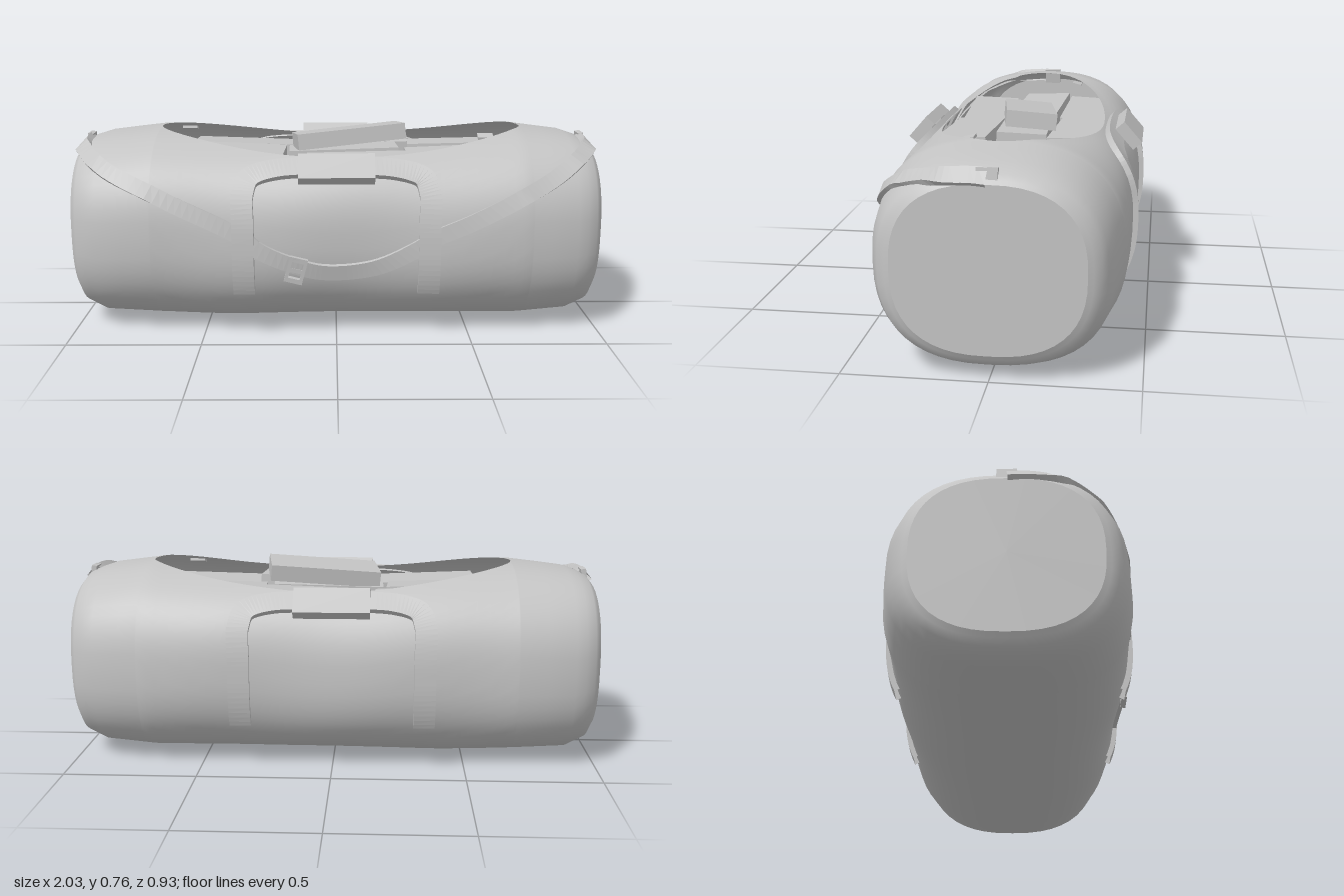
import * as THREE from 'three';
import { mergeVertices } from 'three/addons/utils/BufferGeometryUtils.js';

const N = 2.5; // roundness of the bag's cross-section
const HOLE = { x: 0.02, rx: 0.71, rz: 0.31 };

// x, half depth, bottom, top
const SECTIONS = [
  [-1, 0.32, 0.1, 0.675], [-0.975, 0.365, 0.06, 0.705], [-0.9, 0.4, 0.025, 0.728],
  [-0.7, 0.435, 0.018, 0.752], [-0.4, 0.44, 0.008, 0.748], [0, 0.442, 0.016, 0.742],
  [0.4, 0.44, 0.016, 0.745], [0.7, 0.43, 0.012, 0.755], [0.9, 0.4, 0.028, 0.73],
  [0.975, 0.365, 0.06, 0.705], [1, 0.32, 0.1, 0.675],
];

function section(x) {
  x = THREE.MathUtils.clamp(x, -1, 1);
  let i = 0;
  while (i < SECTIONS.length - 2 && SECTIONS[i + 1][0] < x) i++;
  const p = SECTIONS[i], q = SECTIONS[i + 1], t = (x - p[0]) / (q[0] - p[0]);
  const [a, lo, hi] = [1, 2, 3].map((k) => THREE.MathUtils.lerp(p[k], q[k], t));
  return { x, a, cy: (lo + hi) / 2, b: (hi - lo) / 2 };
}

const power = (v, e) => Math.sign(v) * Math.abs(v) ** e;

// Point on the bag; th runs from the top over the front, bottom and back
function surface(x, th) {
  const s = section(x);
  const k = 1 + 0.014 * Math.sin(8 * s.x + 2 * th) * Math.sin(th) ** 2 * (1 - s.x * s.x);
  return new THREE.Vector3(s.x, s.cy + s.b * k * power(Math.cos(th), 2 / N), s.a * k * power(Math.sin(th), 2 / N));
}

function surfaceNormal(x, th) {
  const e = 0.01;
  const dx = surface(x + e, th).sub(surface(x - e, th));
  const dt = surface(x, th + e).sub(surface(x, th - e));
  return dt.cross(dx).normalize();
}

function angleAt(x, y, side) {
  const s = section(x), k = THREE.MathUtils.clamp((y - s.cy) / s.b, -1, 1);
  return side * Math.acos(power(k, N / 2));
}

// Skin over a grid of points, rows by columns
function skin(rows) {
  const w = rows[0].length, index = [];
  for (let i = 0; i < rows.length - 1; i++) {
    for (let j = 0; j < w - 1; j++) {
      const a = i * w + j, b = a + w;
      index.push(a, a + 1, b, a + 1, b + 1, b);
    }
  }
  const g = new THREE.BufferGeometry().setFromPoints(rows.flat());
  g.setIndex(index);
  return g;
}

function bagGeometry() {
  const xs = [-1, -0.99, -0.975, -0.94, -0.9, -0.8];
  for (let i = 0; i <= 28; i++) xs.push(HOLE.x - HOLE.rx * Math.cos((i / 28) * Math.PI));
  xs.push(0.8, 0.9, 0.94, 0.975, 0.99, 1);
  const rows = xs.map((x) => {
    const u = (x - HOLE.x) / HOLE.rx;
    const w = HOLE.rz * Math.sqrt(Math.max(0, 1 - u * u));
    const start = Math.asin((w / section(x).a) ** (N / 2));
    return Array.from({ length: 49 }, (_, j) => surface(x, start + (j / 48) * (2 * Math.PI - 2 * start)));
  });
  const g = mergeVertices(skin(rows), 1e-4);
  g.computeVertexNormals();
  return g;
}

function capGeometry(side) {
  const ring = Array.from({ length: 49 }, (_, j) => surface(side, (side * j * Math.PI * 2) / 48));
  const g = skin([ring, ring.map(() => new THREE.Vector3(side, 0.39, 0))]);
  g.computeVertexNormals();
  return g;
}

// Webbing band laid over the bag along [x, y] points
function bandGeometry(points, side, half, height, steps) {
  const curve = new THREE.CatmullRomCurve3(
    points.map(([x, y]) => new THREE.Vector3(x, angleAt(x, y, side), 0)), false, 'centripetal');
  const path = curve.getPoints(steps);
  const centre = path.map((p) => surface(p.x, p.y));
  const rows = path.map((p, i) => {
    const n = surfaceNormal(p.x, p.y);
    const t = centre[Math.min(i + 1, steps)].clone().sub(centre[Math.max(i - 1, 0)]).normalize();
    const across = n.clone().cross(t).normalize();
    return [[-half, -0.01], [-half, height], [half, height], [half, -0.01]].map(([u, v]) =>
      centre[i].clone().addScaledVector(across, u).addScaledVector(n, v));
  });
  const g = skin(rows).toNonIndexed();
  g.computeVertexNormals();
  return g;
}

export function createModel() {
  const group = new THREE.Group();
  const grey = new THREE.MeshStandardMaterial({ color: 0xc4c4c4, side: THREE.DoubleSide });
  grey.name = 'plain grey';

  const add = (name, geometry, pos = [0, 0, 0], rot = [0, 0, 0]) => {
    const m = new THREE.Mesh(geometry, grey);
    m.name = name;
    m.position.set(...pos);
    m.rotation.set(...rot);
    group.add(m);
    return m;
  };
  const box = (name, size, pos, rot) => add(name, new THREE.BoxGeometry(...size), pos, rot);

  // Bag shell with its open top
  add('bagBody', bagGeometry());
  for (const s of [-1, 1]) add('endPanel', capGeometry(s));
  const floor = add('innerFloor', new THREE.CircleGeometry(1, 32), [HOLE.x, 0.59, 0], [-Math.PI / 2, 0, 0]);
  floor.scale.set(0.8, 0.35, 1);

  // Packed bundles: x, z, yaw, top height
  const bundles = [
    [-0.37, -0.215, -0.03, 0.655], [0.085, -0.215, -0.04, 0.665], [0.5, -0.21, -0.07, 0.655],
    [-0.42, -0.01, -0.05, 0.66], [0.03, 0.0, 0.03, 0.665], [0.5, 0.0, 0.06, 0.65],
    [-0.35, 0.2, 0.05, 0.65], [0.1, 0.205, -0.03, 0.66], [0.53, 0.2, 0.02, 0.645],
  ];
  bundles.forEach(([x, z, yaw, top], i) =>
    box('bundle', [0.43, 0.075, 0.19], [x, top - 0.037, z], [i % 2 ? 0.04 : -0.04, yaw, i % 3 ? 0.03 : -0.03]));
  box('topBundle', [0.43, 0.062, 0.19], [0.05, 0.708, -0.015], [-0.1, 0.15, 0.1]);

  // Carrying handles, front and back
  const half = [[0.343, 0.19], [0.343, 0.32], [0.343, 0.45], [0.343, 0.56], [0.31, 0.615], [0.22, 0.635], [0.1, 0.64]];
  const arch = [...half.map(([x, y]) => [-x, y]), ...half.slice().reverse()];
  for (const s of [1, -1]) {
    add('handleStrap', bandGeometry(arch, s, 0.04, 0.02, 90));
    box('handleGrip', [0.28, 0.105, 0.045], [0, 0.65, s > 0 ? 0.4 : -0.41], [-0.72 * s, 0, 0]);
  }

  // Shoulder strap hanging across the front
  const strap = [
    [-0.985, 0.75], [-0.965, 0.685], [-0.85, 0.625], [-0.62, 0.53], [-0.4, 0.43], [-0.2, 0.315], [-0.04, 0.27],
    [0.12, 0.28], [0.32, 0.37], [0.5, 0.455], [0.7, 0.55], [0.85, 0.625], [0.965, 0.685], [0.985, 0.75],
  ];
  add('shoulderStrap', bandGeometry(strap, 1, 0.03, 0.014, 110));

  // Buckle with two slots
  const plate = new THREE.Shape([[-0.034, -0.05], [0.034, -0.05], [0.034, 0.05], [-0.034, 0.05]].map((p) => new THREE.Vector2(...p)));
  for (const y of [-0.02, 0.02]) {
    plate.holes.push(new THREE.Path([[-0.022, y - 0.012], [-0.022, y + 0.012], [0.022, y + 0.012], [0.022, y - 0.012]]
      .map((p) => new THREE.Vector2(...p))));
  }
  add('buckle', new THREE.ExtrudeGeometry(plate, { depth: 0.02, bevelEnabled: false }), [-0.15, 0.28, 0.435], [0.1, 0, -0.25]);

  // Strap anchors on the bag's ends
  for (const s of [-1, 1]) box('strapAnchor', [0.02, 0.065, 0.07], [s * 0.978, 0.692, 0], [0, 0, s * 0.15]);

  // Zip pulls at the corners of the opening
  box('zipPull', [0.06, 0.01, 0.04], [-0.6, 0.72, -0.15], [-0.25, 0, 0]);
  box('zipPull', [0.06, 0.01, 0.045], [0.58, 0.725, 0.13], [0.25, 0, 0]);
  return group;
}
